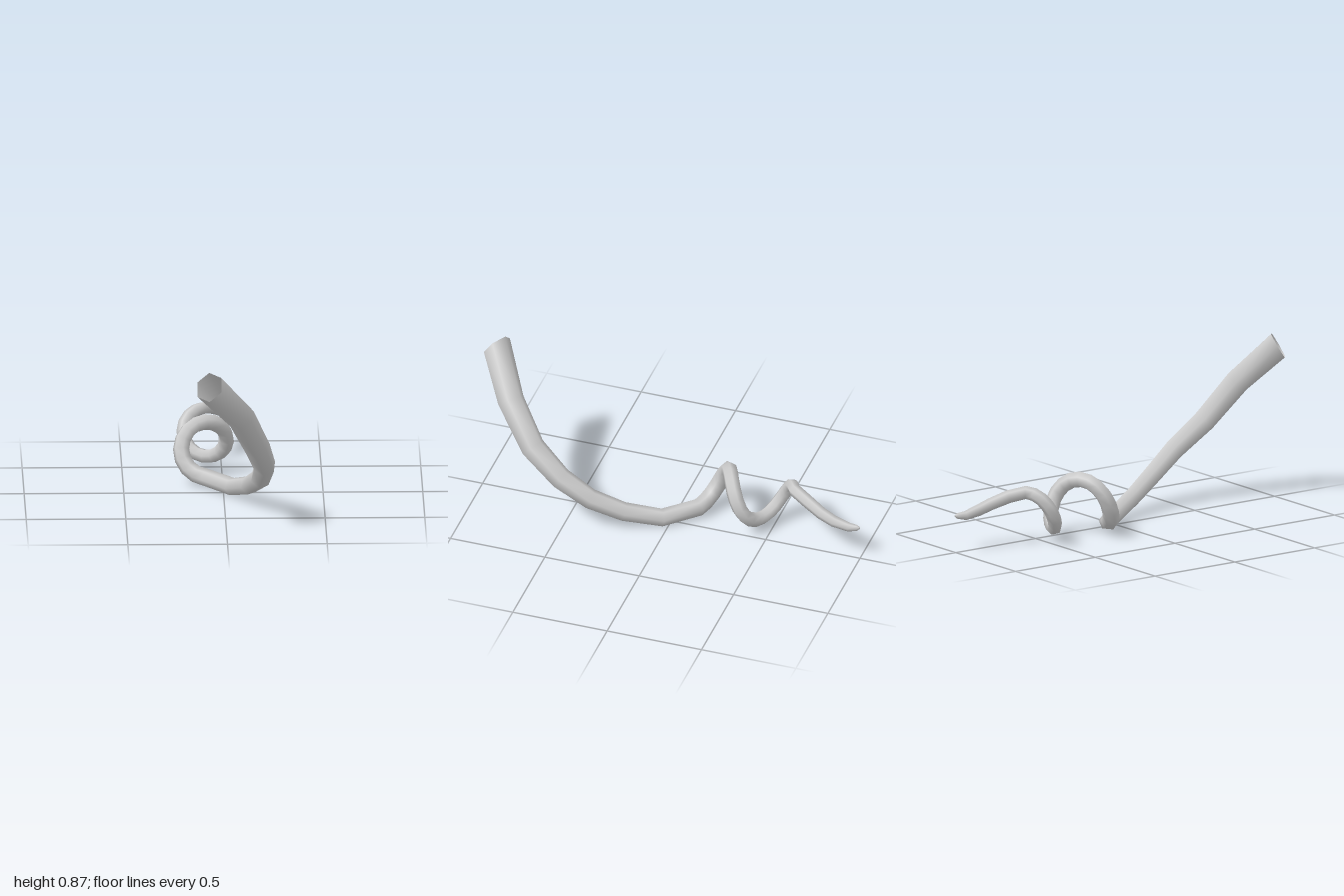
import * as THREE from 'three';

const SIDES = 6;

// Sweep a tapering six-sided ring along [x, y, z, radius] stations.
function sweep(stations, startTangent, startSpoke) {
  const centres = stations.map(([x, y, z]) => new THREE.Vector3(x, y, z));
  const last = centres.length - 1;
  const positions = [];
  const index = [];
  const spoke = startSpoke.clone();
  centres.forEach((c, i) => {
    const tangent = startTangent.clone();
    if (i > 0) {
      const before = c.clone().sub(centres[i - 1]).normalize();
      const after = i < last ? centres[i + 1].clone().sub(c).normalize() : before;
      tangent.addVectors(before, after);
    }
    tangent.normalize();
    // carry the spoke along so the ring does not twist
    spoke.addScaledVector(tangent, -spoke.dot(tangent)).normalize();
    for (let k = 0; k < SIDES; k++) {
      const p = spoke.clone().applyAxisAngle(tangent, (k / SIDES) * Math.PI * 2);
      p.multiplyScalar(stations[i][3]).add(c);
      positions.push(p.x, p.y, p.z);
      if (i < last) {
        const a = i * SIDES + k;
        const b = i * SIDES + ((k + 1) % SIDES);
        index.push(a, b, a + SIDES, b, b + SIDES, a + SIDES);
      }
    }
  });
  // close the thin tip
  for (let k = 1; k < SIDES - 1; k++) {
    index.push(last * SIDES, last * SIDES + k, last * SIDES + k + 1);
  }
  const geometry = new THREE.BufferGeometry();
  geometry.setAttribute('position', new THREE.Float32BufferAttribute(positions, 3));
  geometry.setIndex(index);
  geometry.computeVertexNormals();
  return geometry;
}

export function createModel() {
  const group = new THREE.Group();
  group.name = 'tendril';

  // thick stem sweeping down from the open end
  const stations = [
    [-0.09, 0.81, 0.955, 0.078],
    [0.075, 0.613, 0.825, 0.07],
    [0.16, 0.415, 0.68, 0.064],
    [0.196, 0.285, 0.52, 0.057],
    [0.178, 0.18, 0.37, 0.052],
    [0.125, 0.102, 0.21, 0.048],
    [0.042, 0.049, 0.035, 0.045],
  ];

  // one and a half turns of coil, slowly tightening
  const steps = 24;
  for (let i = 0; i <= steps; i++) {
    const quarter = (i / steps) * 6;
    const angle = (quarter * Math.PI) / 2;
    const r = 0.125 - 0.0045 * quarter;
    stations.push([
      -0.088 - r * Math.sin(angle),
      0.183 - r * Math.cos(angle),
      -0.115 - 0.085 * quarter,
      0.044 - 0.0018 * quarter,
    ]);
  }

  // tail running out to the tip
  stations.push(
    [-0.045, 0.262, -0.705, 0.033],
    [-0.012, 0.23, -0.79, 0.031],
    [0, 0.205, -0.86, 0.029],
    [0.003, 0.189, -0.94, 0.023],
    [0.004, 0.194, -0.985, 0.015],
    [0.004, 0.197, -1, 0.005],
  );

  const geometry = sweep(
    stations,
    new THREE.Vector3(0.48, -0.5, -0.72),
    new THREE.Vector3(0, 0.82, -0.57),
  );
  const material = new THREE.MeshStandardMaterial({ color: 0xcccccc, side: THREE.DoubleSide });
  const vine = new THREE.Mesh(geometry, material);
  vine.name = 'curledVine';
  group.add(vine);
  return group;
}
